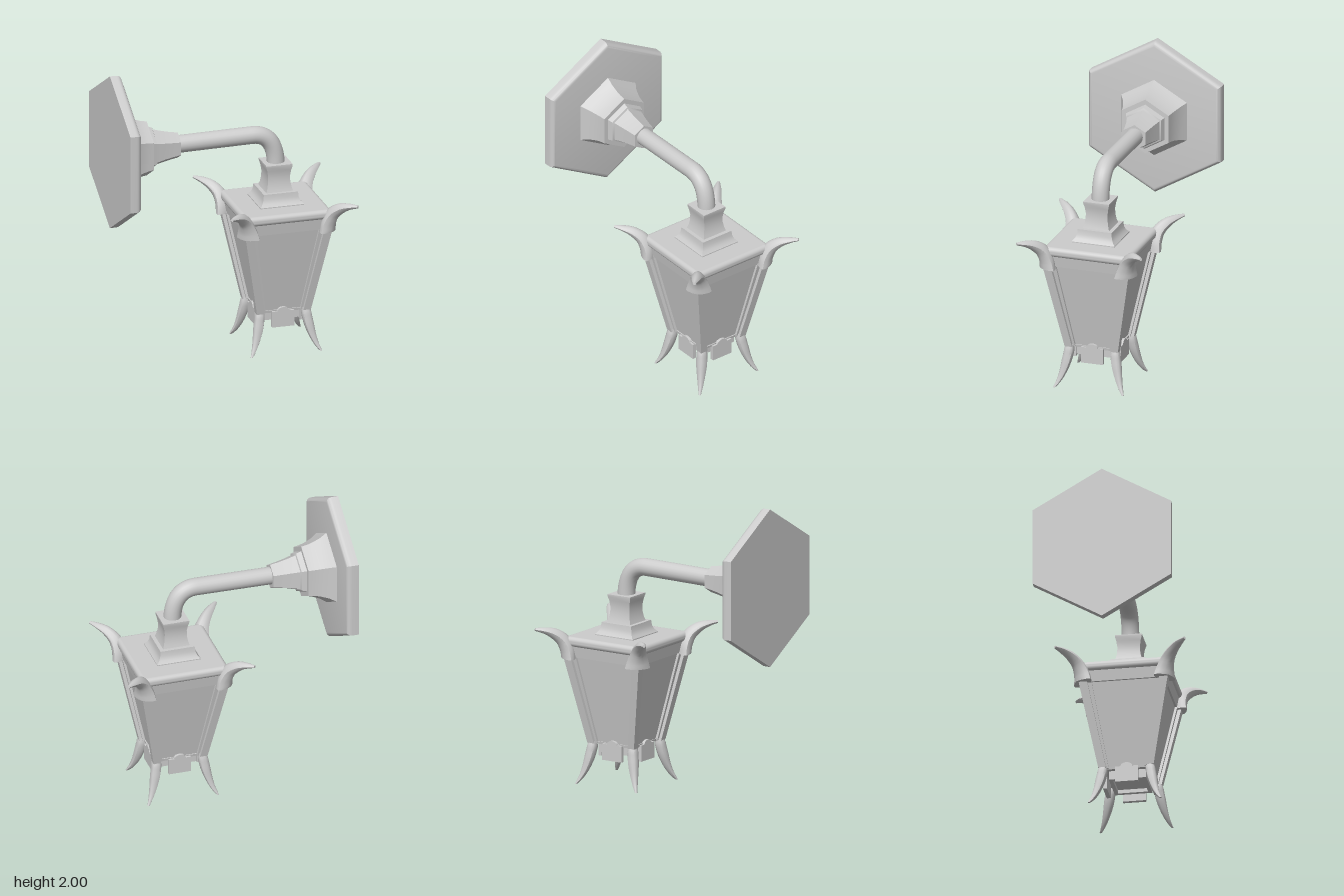
import * as THREE from 'three';
import { toCreasedNormals } from 'three/addons/utils/BufferGeometryUtils.js';
import { RoundedBoxGeometry } from 'three/addons/geometries/RoundedBoxGeometry.js';

const material = new THREE.MeshStandardMaterial({ color: 0xcccccc });
const CX = 0.352; // lantern axis

function add(parent, name, geometry) {
  const mesh = new THREE.Mesh(geometry, material);
  mesh.name = name;
  parent.add(mesh);
  return mesh;
}

// Faceted turning: profile of [radius, height], sharp between its flat sides
function facetedLathe(profile, sides, start) {
  const pts = profile.map(([r, y]) => new THREE.Vector2(r, y));
  return toCreasedNormals(new THREE.LatheGeometry(pts, sides, start), 0.5);
}
const hexTurning = (profile) => facetedLathe(profile, 6, Math.PI / 2).rotateZ(-Math.PI / 2);
const squareTurning = (profile) =>
  facetedLathe(profile.map(([h, y]) => [h * Math.SQRT2, y]), 4, Math.PI / 4);

// Closed skin over equal rings of points, capped at both ends
function loft(rings, crease) {
  const n = rings[0].length, pos = [], index = [];
  rings.forEach((ring) => ring.forEach((p) => pos.push(...p)));
  for (let i = 0; i < rings.length - 1; i++) {
    for (let j = 0; j < n; j++) {
      const a = i * n + j, b = i * n + (j + 1) % n;
      index.push(a, a + n, b, b, a + n, b + n);
    }
  }
  const last = (rings.length - 1) * n;
  for (let j = 1; j < n - 1; j++) {
    index.push(0, j, j + 1, last, last + j + 1, last + j);
  }
  const g = new THREE.BufferGeometry();
  g.setAttribute('position', new THREE.Float32BufferAttribute(pos, 3));
  g.setIndex(index);
  return toCreasedNormals(g, crease);
}

// Tapered bar between two rectangles [x0, x1, z0, z1]
function taperedBar(bottom, y0, top, y1) {
  const ring = ([x0, x1, z0, z1], y) => [[x0, y, z0], [x1, y, z0], [x1, y, z1], [x0, y, z1]];
  return loft([ring(bottom, y0), ring(top, y1)], 0.3);
}

// Curved horn in the plane x = z, rising: keys are [offset, y, half width, half thickness].
// The section is an oval pinched towards a ridge.
function horn(keys) {
  const path = new THREE.CatmullRomCurve3(keys.map(([d, y]) => new THREE.Vector3(d * Math.SQRT2, y, 0)));
  const sizes = new THREE.CatmullRomCurve3(keys.map(([, , w, t]) => new THREE.Vector3(w, t, 0)));
  const pinch = (v) => v * Math.abs(v) ** 0.3;
  const rings = [], steps = 16, n = 12, s = Math.SQRT1_2;
  for (let i = 0; i <= steps; i++) {
    const t = i / steps;
    const p = path.getPoint(t), size = sizes.getPoint(t), tan = path.getTangent(t);
    if (i === 0) tan.set(0, 1, 0); // level underside
    const ring = [];
    for (let j = 0; j < n; j++) {
      const a = (j / n) * Math.PI * 2;
      const across = pinch(Math.cos(a)) * size.x, out = pinch(Math.sin(a)) * size.y;
      const r = p.x + out * tan.y, y = p.y - out * tan.x;
      ring.push([(r + across) * s, y, (r - across) * s]);
    }
    rings.push(ring);
  }
  return loft(rings, 0.8);
}

export function createModel() {
  const model = new THREE.Group();
  model.name = 'wallLantern';

  // Wall plate with a rounded front edge, and stepped collar
  const plate = [[0, -0.795], [0.535, -0.795], [0.535, -0.75]];
  for (let i = 1; i <= 5; i++) {
    const a = (i / 5) * Math.PI / 2;
    plate.push([0.5 + 0.035 * Math.cos(a), -0.75 + 0.035 * Math.sin(a)]);
  }
  plate.push([0, -0.715]);
  add(model, 'wallPlate', hexTurning(plate)).position.y = 1.468;
  add(model, 'wallCollar', hexTurning([
    [0, -0.73], [0.266, -0.715], [0.233, -0.67], [0.21, -0.62], [0.197, -0.58], [0.19, -0.54],
    [0.155, -0.54], [0.143, -0.505], [0.13, -0.5], [0.112, -0.44], [0.098, -0.38], [0.088, -0.325], [0, -0.325],
  ])).position.y = 1.468;

  // Bent arm
  const arm = new THREE.CurvePath();
  const V = (x, y) => new THREE.Vector3(x, y, 0);
  arm.add(new THREE.LineCurve3(V(-0.4, 1.474), V(0.19, 1.482)));
  arm.add(new THREE.CubicBezierCurve3(V(0.19, 1.482), V(0.3, 1.482), V(0.345, 1.4), V(CX, 1.28)));
  arm.add(new THREE.LineCurve3(V(CX, 1.28), V(CX, 1.22)));
  add(model, 'arm', new THREE.TubeGeometry(arm, 60, 0.059, 20));

  const lantern = new THREE.Group();
  lantern.name = 'lantern';
  lantern.position.x = CX;
  model.add(lantern);

  // Square neck and cap
  add(lantern, 'neck', squareTurning([
    [0.15, 1.0], [0.15, 1.015], [0.132, 1.035], [0.122, 1.06], [0.118, 1.095], [0.092, 1.095], [0.084, 1.12],
    [0.077, 1.16], [0.076, 1.2], [0.082, 1.24], [0.09, 1.27], [0.09, 1.282], [0, 1.282],
  ]));
  add(lantern, 'cap', new RoundedBoxGeometry(0.604, 0.066, 0.604, 4, 0.028)).position.y = 0.976;
  add(lantern, 'topRail', squareTurning([[0, 0.87], [0.273, 0.87], [0.285, 0.95], [0, 0.95]]));

  // Glass body
  add(lantern, 'glass', squareTurning([[0, 0.28], [0.148, 0.28], [0.262, 0.88], [0, 0.88]]));

  // Open base frame with a raised floor
  const square = (h, Type) => new Type().moveTo(-h, -h).lineTo(h, -h).lineTo(h, h).lineTo(-h, h).closePath();
  const frame = square(0.125, THREE.Shape);
  frame.holes.push(square(0.1, THREE.Path));
  add(lantern, 'baseFrame', new THREE.ExtrudeGeometry(frame, { depth: 0.075, bevelEnabled: false })
    .rotateX(-Math.PI / 2)).position.y = 0.215;
  add(lantern, 'floor', new THREE.BoxGeometry(0.22, 0.03, 0.22)).position.y = 0.255;
  add(lantern, 'bottomRail', squareTurning([[0, 0.275], [0.155, 0.275], [0.158, 0.292], [0, 0.292]]));

  // Tab outline with a rounded bump on top
  const tab = new THREE.Shape();
  tab.moveTo(-0.077, 0.175).lineTo(0.077, 0.175).lineTo(0.077, 0.285).lineTo(0.04, 0.285);
  tab.quadraticCurveTo(0.035, 0.31, 0, 0.312).quadraticCurveTo(-0.035, 0.31, -0.04, 0.285);
  tab.lineTo(-0.077, 0.285).closePath();
  const tabGeometry = new THREE.ExtrudeGeometry(tab, { depth: 0.026, bevelEnabled: false }).translate(0, 0, 0.146);

  // Corner pieces, built at +x +z
  const postGeometry = taperedBar([0.135, 0.186, 0.135, 0.186], 0.28, [0.245, 0.302, 0.245, 0.302], 0.88);
  const stripA = taperedBar([0.12, 0.14, 0.13, 0.165], 0.28, [0.218, 0.25, 0.24, 0.278], 0.88);
  const stripB = taperedBar([0.13, 0.165, 0.12, 0.14], 0.28, [0.24, 0.278, 0.218, 0.25], 0.88);
  const hornGeometry = horn([
    [0.274, 0.862, 0.086, 0.05], [0.28, 0.92, 0.07, 0.05], [0.302, 0.985, 0.05, 0.046],
    [0.345, 1.032, 0.038, 0.036], [0.39, 1.054, 0.028, 0.022], [0.435, 1.064, 0.011, 0.01],
  ]);
  const footGeometry = horn([
    [0.24, 0.004, 0.008, 0.008], [0.215, 0.05, 0.018, 0.017], [0.193, 0.11, 0.028, 0.027],
    [0.173, 0.19, 0.037, 0.036], [0.162, 0.25, 0.037, 0.037], [0.157, 0.296, 0.028, 0.026],
  ]);

  for (let i = 0; i < 4; i++) {
    const side = new THREE.Group();
    side.name = 'side' + (i + 1);
    side.rotation.y = (i * Math.PI) / 2;
    lantern.add(side);
    add(side, 'baseTab', tabGeometry);
    add(side, 'cornerPost', postGeometry);
    add(side, 'frameStrip', stripA);
    add(side, 'frameStrip', stripB);
    add(side, 'topHorn', hornGeometry);
    add(side, 'foot', footGeometry);
  }
  return model;
}
